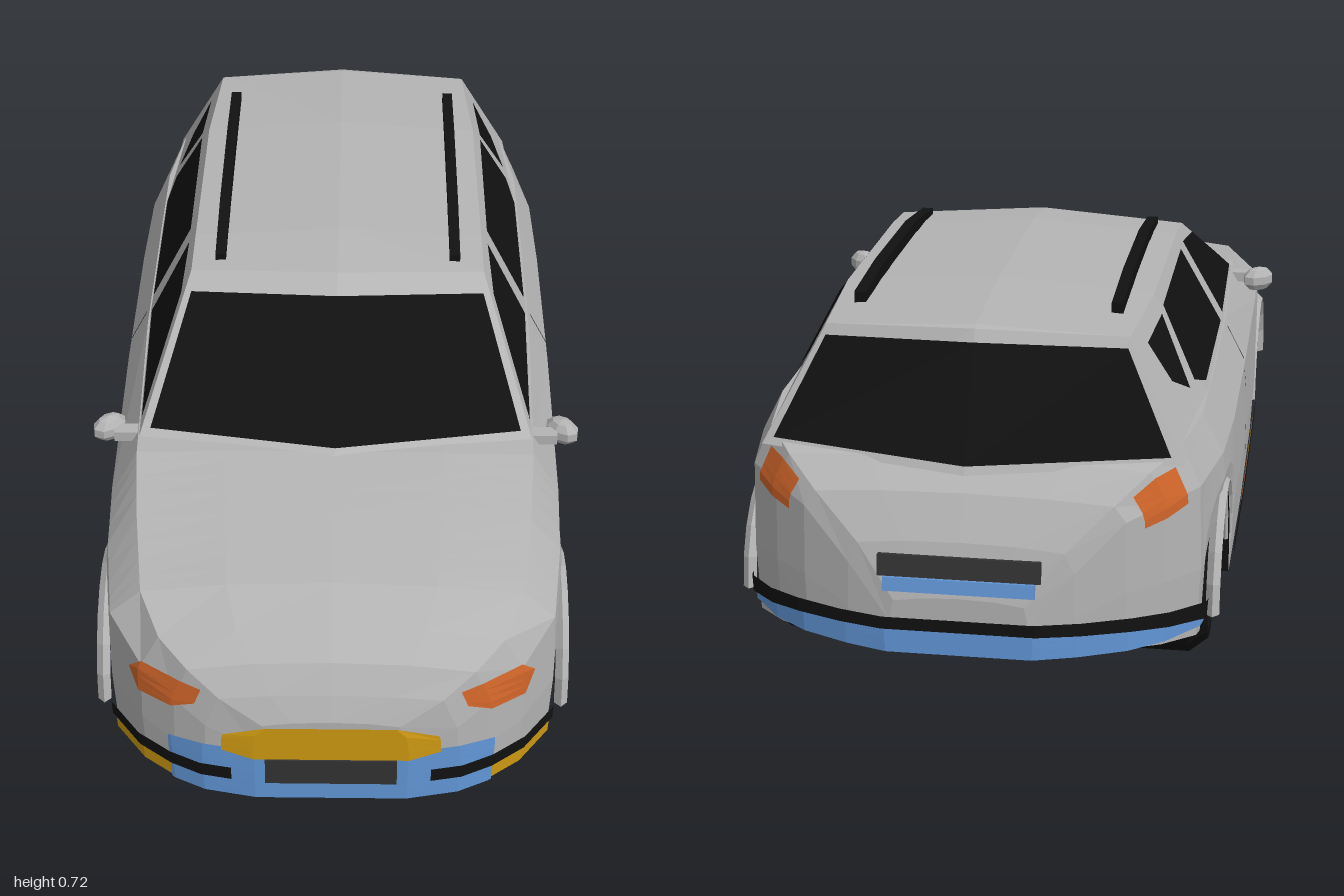
import * as THREE from 'three';

const mat = (name, color) => new THREE.MeshStandardMaterial({ name, color, flatShading: true, side: THREE.DoubleSide });
const grey = mat('bodyGrey', 0xb4b4b4), black = mat('black', 0x111111), dark = mat('darkGrey', 0x333333);
const gold = mat('gold', 0xcf9a12), blue = mat('blue', 0x6297d8), orange = mat('orange', 0xd0652a);

const lerp = THREE.MathUtils.lerp;
const mix = (a, b, t) => a.map((v, i) => lerp(v, b[i], t));
// piecewise linear value from [key, value...] rows with falling keys
const along = (table, z) => {
  if (z >= table[0][0]) return table[0].slice(1);
  for (let i = 1; i < table.length; i++) {
    const a = table[i - 1], b = table[i];
    if (z >= b[0]) return mix(a, b, (a[0] - z) / (a[0] - b[0])).slice(1);
  }
  return table[table.length - 1].slice(1);
};

// lower body stations: z, half width, bottom, crease height, shoulder x, shoulder y, top y
const stations = [
  [0.99, 0.14, 0.08, 0.2, 0.13, 0.26, 0.27],
  [0.97, 0.24, 0.08, 0.24, 0.21, 0.31, 0.32],
  [0.94, 0.3, 0.08, 0.28, 0.27, 0.355, 0.375],
  [0.89, 0.365, 0.08, 0.32, 0.325, 0.39, 0.42],
  [0.8, 0.43, 0.08, 0.37, 0.365, 0.425, 0.45],
  [0.62, 0.45, 0.08, 0.39, 0.385, 0.46, 0.475],
  [0.45, 0.457, 0.08, 0.4, 0.398, 0.49, 0.495],
  [0, 0.462, 0.08, 0.41, 0.412, 0.497, 0.5],
  [-0.4, 0.462, 0.08, 0.41, 0.412, 0.497, 0.5],
  [-0.62, 0.455, 0.09, 0.42, 0.41, 0.5, 0.51],
  [-0.8, 0.425, 0.12, 0.42, 0.385, 0.5, 0.51],
  [-0.87, 0.365, 0.13, 0.41, 0.335, 0.47, 0.48],
  [-0.92, 0.3, 0.14, 0.39, 0.275, 0.42, 0.43],
  [-0.96, 0.21, 0.14, 0.3, 0.19, 0.34, 0.35],
  [-0.985, 0.13, 0.14, 0.2, 0.12, 0.24, 0.25],
];
const axles = [0.62, -0.59], archR = 0.178, wheelY = 0.153;

// half section from the sill up to the centre line, raised over the wheels
function section(z) {
  let [w, yb, y2, ws, ys, yt] = along(stations, z);
  for (const c of axles) {
    const d = Math.abs(z - c);
    if (d <= archR + 1e-6) yb = wheelY + Math.sqrt(Math.max(0, archR ** 2 - d ** 2));
  }
  return [[w * 0.985, yb], [w, lerp(yb, y2, 0.45)], [w * 0.99, y2], [ws, ys], [ws * 0.55, lerp(ys, yt, 0.75)], [0, yt]];
}
function surfX(z, y) {
  const p = section(z);
  if (y <= p[0][1]) return p[0][0];
  for (let i = 1; i < p.length; i++)
    if (y <= p[i][1]) return lerp(p[i - 1][0], p[i][0], (y - p[i - 1][1]) / (p[i][1] - p[i - 1][1]));
  return 0;
}
const samples = stations.map(s => s[0]);
for (const c of axles) {
  samples.push(c - archR - 0.002, c + archR + 0.002);
  for (let k = 0; k <= 10; k++) samples.push(c + archR * Math.cos(Math.PI * k / 10));
}
const zs = samples.filter(z => z <= 0.99 && z >= -0.985).sort((a, b) => a - b);

// surface through rows of points
function grid(rows) {
  const n = rows[0].length, idx = [];
  for (let i = 0; i < rows.length - 1; i++)
    for (let j = 0; j < n - 1; j++) {
      const a = i * n + j, b = a + n;
      idx.push(a, a + 1, b + 1, a, b + 1, b);
    }
  const g = new THREE.BufferGeometry();
  g.setAttribute('position', new THREE.Float32BufferAttribute(rows.flat(2), 3));
  g.setIndex(idx);
  g.computeVertexNormals();
  return g;
}

export function createModel() {
  const car = new THREE.Group();
  car.name = 'car';
  const add = (name, geo, m, x = 0, y = 0, z = 0) => {
    const mesh = new THREE.Mesh(geo, m);
    mesh.name = name;
    mesh.position.set(x, y, z);
    car.add(mesh);
    return mesh;
  };
  const box = (name, m, w, h, d, x, y, z) => add(name, new THREE.BoxGeometry(w, h, d), m, x, y, z);

  // lower body shell, closed at both ends
  const shell = zs.map(z => {
    const h = section(z);
    return [...h.map(([x, y]) => [x, y, z]), ...h.slice(0, -1).reverse().map(([x, y]) => [-x, y, z])];
  });
  const cap = z => Array(11).fill([0, 0.17, z]);
  add('lowerBody', grid([cap(-0.985), ...shell, cap(0.99)]), grey);

  // underside, with wheel tunnels
  const under = (name, m, z0, z1) => add(name, grid(zs.filter(z => z >= z0 && z <= z1).map(z => {
    const [x, y] = section(z)[0];
    return [[-x, y, z], [x, y, z]];
  })), m);
  under('rearUnderside', gold, -1, -0.765);
  under('underside', black, -0.772, 0.803);
  under('frontUnderside', gold, 0.797, 1);
  box('chassis', black, 0.52, 0.23, 1.6, 0, 0.18, 0.06);
  box('floorEdge', black, 0.86, 0.03, 0.84, 0, 0.078, 0.015);
  box('floorPlate', grey, 0.8, 0.01, 0.68, 0, 0.06, 0.01);

  // bands that follow the body, on both sides or wrapped around an end
  function band(name, m, z0, z1, lo, hi, off) {
    const list = [z0, ...zs.filter(z => z > z0 + 1e-4 && z < z1 - 1e-4), z1];
    const at = (v, z) => (typeof v === 'number' ? v : along(v, z)[0]);
    const row = s => z => [0, 0.25, 0.5, 0.75, 1].map(t => {
      const y = lerp(at(lo, z), at(hi, z), t);
      return [s * (surfX(z, y) + off), y, z + (Math.abs(z) > 0.8 ? Math.sign(z) * off : 0)];
    });
    const left = list.map(row(1)), right = list.map(row(-1)).reverse();
    if (z1 >= 0.99) add(name, grid([...left, ...right]), m);
    else if (z0 <= -0.985) add(name, grid([...right, ...left]), m);
    else { add(name + 'Left', grid(left), m); add(name + 'Right', grid(right), m); }
  }
  band('frontBumper', blue, 0.935, 0.99, 0.078, [[0.96, 0.2], [0.935, 0.19]], 0.006);
  band('grille', gold, 0.978, 0.99, [[0.985, 0.182], [0.978, 0.195]], [[0.985, 0.262], [0.978, 0.235]], 0.009);
  band('frontBumperCorner', gold, 0.805, 0.935, 0.082, 0.125, 0.005);
  band('frontRubStrip', black, 0.805, 0.982, 0.122, 0.152, 0.01);
  band('sideRubStrip', black, -0.41, 0.44, 0.122, 0.152, 0.008);
  band('sillTrim', gold, 0.22, 0.43, 0.09, 0.115, 0.004);
  band('sillMarker', orange, -0.09, 0.22, 0.09, 0.115, 0.004);
  band('rearBumper', blue, -0.985, -0.775, 0.14, [[-0.78, 0.16], [-0.9, 0.185], [-0.985, 0.19]], 0.007);
  band('rearRubStrip', black, -0.985, -0.775, [[-0.78, 0.15], [-0.9, 0.18], [-0.985, 0.188]], [[-0.78, 0.185], [-0.9, 0.208], [-0.985, 0.212]], 0.013);
  band('headlight', orange, 0.865, 0.957, [[0.957, 0.29], [0.935, 0.262], [0.885, 0.262], [0.865, 0.3]],
    [[0.957, 0.325], [0.9, 0.348], [0.865, 0.302]], 0.006);
  band('tailLight', orange, -0.9, -0.83, [[-0.83, 0.4], [-0.9, 0.375]], [[-0.83, 0.47], [-0.87, 0.462], [-0.9, 0.435]], 0.006);
  band('doorSeam', dark, -0.056, -0.05, 0.21, 0.49, 0.003);
  box('lowerGrille', dark, 0.25, 0.06, 0.008, 0, 0.15, 0.996);
  box('plateRecess', dark, 0.3, 0.04, 0.02, 0, 0.305, -0.97).rotation.x = 0.15;
  box('rearPlateTrim', blue, 0.28, 0.026, 0.024, 0, 0.27, -0.974).rotation.x = 0.15;

  // cabin: belt ring, roof ring and roof spine
  const sideX = (y, z) => 0.41 - 0.54 * (y - 0.495) - 0.033 * Math.max(0, z + 0.05) - 0.08 * Math.max(0, -0.5 - z);
  const side = (y, z) => [sideX(y, z), y, z];
  const belt = [[0, 0.49, 0.47], side(0.49, 0.4), side(0.49, -0.05), side(0.49, -0.5), side(0.475, -0.84), [0, 0.46, -0.91]];
  const eave = [[0, 0.695, 0.1], side(0.68, 0.07), side(0.69, -0.05), side(0.695, -0.5), side(0.69, -0.76), [0, 0.7, -0.785]];
  const spine = [[0, 0.695, 0.1], [0, 0.696, 0.09], [0, 0.71, -0.05], [0, 0.716, -0.5], [0, 0.704, -0.77], [0, 0.7, -0.785]];
  const flip = ([x, y, z]) => [-x, y, z];
  const ring = r => [...r, ...r.slice(0, -1).reverse().map(flip)];
  add('cabin', grid([belt, eave, spine].map(ring)), grey);

  // windscreen and rear window
  const screen = (name, mid, corner, v0, v1, out) => add(name, grid([v0, v1].map(v => {
    const c = mix(belt[mid], eave[mid], v), e = mix(c, mix(belt[corner], eave[corner], v), 0.955);
    const r = [flip(e), c, e].map(([x, y, z]) => [x, y + 0.004, z + out]);
    return out > 0 ? r : r.reverse();
  })), black);
  screen('windscreen', 0, 1, 0.06, 0.87, 0.007);
  screen('rearWindow', 5, 4, 0.06, 0.9, -0.008);

  // side windows as [z, y] outlines
  const windows = {
    frontWindow: [[0.355, 0.508], [0.25, 0.57], [0.11, 0.65], [-0.05, 0.673], [-0.025, 0.513]],
    rearDoorWindow: [[-0.085, 0.513], [-0.105, 0.672], [-0.5, 0.672], [-0.55, 0.54], [-0.48, 0.515]],
    quarterWindow: [[-0.6, 0.54], [-0.535, 0.665], [-0.7, 0.66], [-0.68, 0.58]],
  };
  for (const [name, outline] of Object.entries(windows))
    for (const s of [1, -1]) {
      const p = outline.map(([z, y]) => [s * (sideX(y, z) + 0.005), y, z]);
      if (s < 0) p.reverse();
      add(name, grid([Array(p.length - 1).fill(p[0]), p.slice(1)]), black);
    }

  // wheels, arches, mirrors and roof rails
  const tyre = new THREE.LatheGeometry([[0, -0.08], [0.12, -0.08], [0.153, -0.07], [0.153, 0.045], [0.125, 0.08],
    [0.105, 0.08], [0.095, 0.06], [0, 0.055]].map(p => new THREE.Vector2(...p)), 18).rotateZ(-Math.PI / 2);
  const rail = new THREE.ExtrudeGeometry(new THREE.Shape([[0.04, 0.675], [0.04, 0.7], [-0.15, 0.722], [-0.45, 0.726],
    [-0.64, 0.716], [-0.64, 0.69], [-0.4, 0.7], [-0.15, 0.698]].map(p => new THREE.Vector2(...p))),
  { depth: 0.022, bevelEnabled: false }).rotateY(-Math.PI / 2).translate(0.011, 0, 0);
  for (const s of [1, -1]) {
    axles.forEach((z, i) => {
      add('wheel', tyre, black, s * 0.352, wheelY, z).rotation.y = s > 0 ? 0 : Math.PI;
      const hub = add('hubCap', new THREE.CylinderGeometry(0.012, 0.015, 0.012, 6), grey, s * 0.41, wheelY - 0.01, z);
      hub.rotation.z = -s * Math.PI / 2;
      add('wheelArch', new THREE.TorusGeometry(archR + 0.008, 0.013, 4, 10, Math.PI).rotateY(Math.PI / 2), grey, s * 0.447, wheelY, z);
      const inward = i ? 1 : -1;
      box('mudGuard', black, 0.11, 0.09, 0.05, s * 0.345, 0.055, z + inward * 0.18);
    });
    const arc = new THREE.RingGeometry(0.085, 0.103, 10, 1, Math.PI * 0.45, Math.PI * 0.4).rotateY(Math.PI / 2);
    const trim = add('wheelTrim', arc, gold, s * 0.434, wheelY, axles[0]);
    trim.scale.z = 1;
    const mirror = add('mirror', new THREE.SphereGeometry(1, 8, 5), grey, s * 0.462, 0.478, 0.35);
    mirror.scale.set(0.04, 0.028, 0.026);
    mirror.rotation.y = -s * 0.7;
    box('mirrorArm', grey, 0.06, 0.022, 0.03, s * 0.42, 0.478, 0.37);
    add('roofRail', rail, black, s * 0.246);
  }
  return car;
}
